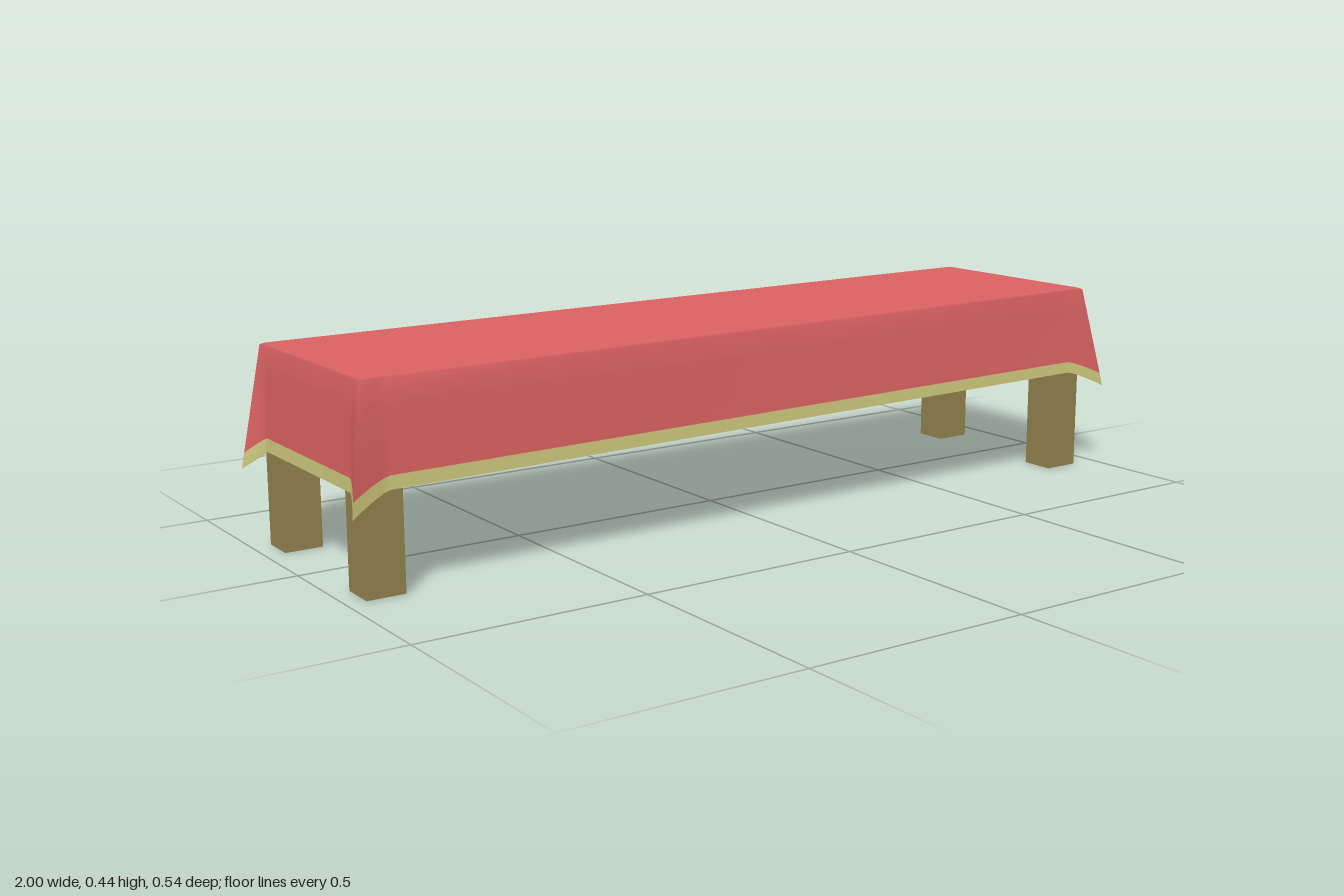
import * as THREE from 'three';

const V = (x, y, z) => new THREE.Vector3(x, y, z);

// Cloth corners, counter-clockwise from above: table edge and drooping tip
const edge = [V(-0.96, 0.426, 0.23), V(0.94, 0.434, 0.23), V(0.94, 0.434, -0.242), V(-0.96, 0.426, -0.242)];
const tips = [V(-1, 0.174, 0.272), V(1, 0.194, 0.252), V(0.97, 0.148, -0.262), V(-1, 0.163, -0.272)];

// Bottom line of each hanging side, before the corners flare out to the tips
const sides = [
  { name: 'front', from: V(-0.96, 0.212, 0.24), to: V(0.94, 0.238, 0.246), flare: 0.055 },
  { name: 'leftEnd', from: V(0.958, 0.24, 0.23), to: V(0.958, 0.241, -0.242), flare: 0.035 },
  { name: 'back', from: V(0.94, 0.207, -0.257), to: V(-0.96, 0.207, -0.257), flare: 0.055 },
  { name: 'rightEnd', from: V(-0.968, 0.207, -0.242), to: V(-0.968, 0.207, 0.23), flare: 0.035 },
];

// Cloth top sits just inside and above the table edge
const inset = (p) => V(p.x - 0.008 * Math.sign(p.x), p.y + 0.004, p.z - 0.008 * Math.sign(p.z));

// Point on a hanging side: u along the side, v from edge (0) to bottom (1); v < 0 is the rounded rim
function drape(k, u, v) {
  const s = sides[k], n = (k + 1) % 4;
  if (v < 0) return inset(edge[k]).lerp(inset(edge[n]), u);
  const top = edge[k].clone().lerp(edge[n], u);
  const bottom = s.from.clone().lerp(s.to, u);
  const length = s.from.distanceTo(s.to);
  const weight = (d) => Math.pow(Math.max(0, 1 - d / s.flare), 1.5);
  bottom.addScaledVector(tips[k].clone().sub(s.from), weight(u * length));
  bottom.addScaledVector(tips[n].clone().sub(s.to), weight((1 - u) * length));
  return top.lerp(bottom, v);
}

// Sheet of cloth on one side, with denser columns near the corners
function clothSheet(k, rows) {
  const length = sides[k].from.distanceTo(sides[k].to);
  const near = [0, 0.2, 0.4, 0.6, 0.8, 1].map((f) => (f * sides[k].flare) / length);
  const us = [...near, 0.35, 0.5, 0.65, ...near.map((u) => 1 - u).reverse()];
  const geo = new THREE.PlaneGeometry(1, 1, us.length - 1, rows.length - 1);
  const pos = geo.attributes.position;
  for (let i = 0; i < pos.count; i++) {
    const p = drape(k, us[i % us.length], rows[Math.floor(i / us.length)]);
    pos.setXYZ(i, p.x, p.y, p.z);
  }
  geo.computeVertexNormals();
  return geo;
}

export function createModel() {
  const model = new THREE.Group();
  model.name = 'clothCoveredTable';
  const wood = new THREE.MeshStandardMaterial({ color: 0x94834e });
  const red = new THREE.MeshStandardMaterial({ color: 0xdb6262, side: THREE.DoubleSide });
  const yellow = new THREE.MeshStandardMaterial({ color: 0xcdc87c, side: THREE.DoubleSide });

  const add = (name, geo, mat) => {
    const mesh = new THREE.Mesh(geo, mat);
    mesh.name = name;
    model.add(mesh);
    return mesh;
  };
  const box = (name, x0, x1, y0, y1, z0, z1) =>
    add(name, new THREE.BoxGeometry(x1 - x0, y1 - y0, z1 - z0), wood)
      .position.set((x0 + x1) / 2, (y0 + y1) / 2, (z0 + z1) / 2);

  // Wooden table
  box('tabletop', -0.958, 0.936, 0.36, 0.422, -0.24, 0.228);
  for (const [sideName, x0, x1] of [['Right', -0.958, -0.875], ['Left', 0.85, 0.936]]) {
    box(`front${sideName}Leg`, x0, x1, 0, 0.36, 0.15, 0.228);
    box(`back${sideName}Leg`, x0, x1, 0, 0.36, -0.24, -0.163);
  }

  // Flat top of the cloth
  const top = new THREE.PlaneGeometry(1, 1);
  [3, 2, 0, 1].forEach((c, i) => {
    const p = inset(edge[c]);
    top.attributes.position.setXYZ(i, p.x, p.y, p.z);
  });
  top.computeVertexNormals();
  add('clothTop', top, red);

  // Hanging sides, each with a hem band
  const hem = 0.87;
  sides.forEach((s, k) => {
    add(`${s.name}Drape`, clothSheet(k, [-1, 0, 0.25, 0.5, 0.7, hem]), red);
    add(`${s.name}Hem`, clothSheet(k, [hem, 1]), yellow);
  });
  return model;
}
